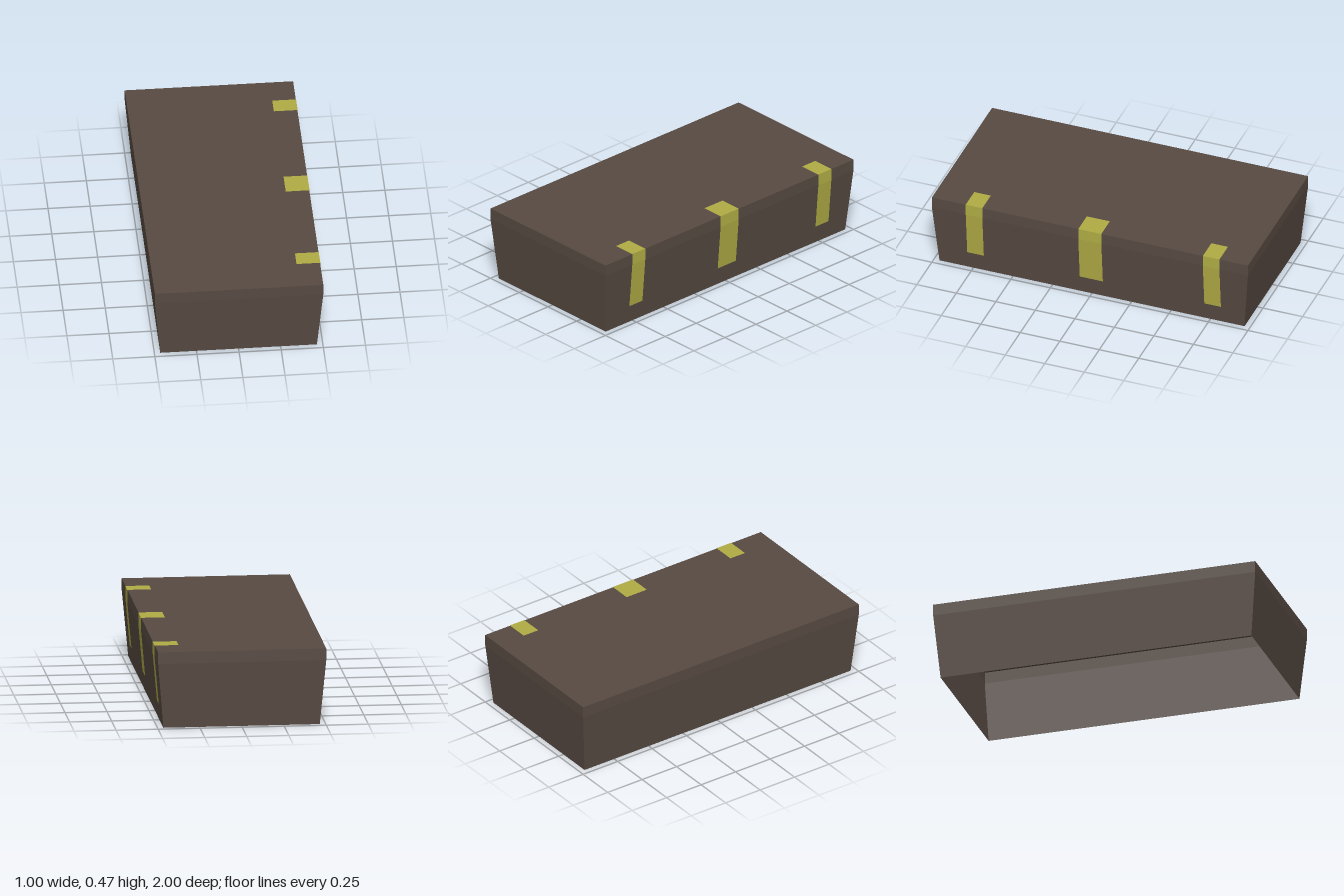
import * as THREE from 'three';

const brown = new THREE.MeshStandardMaterial({ color: 0x574a42, side: THREE.DoubleSide });
brown.name = 'dark brown';
const yellow = new THREE.MeshStandardMaterial({ color: 0xb0ac45, side: THREE.DoubleSide });
yellow.name = 'olive yellow';

// flat-shaded faces from quads, corners counter-clockwise seen from outside
function quadMesh(name, quads, material) {
  const pos = quads.flatMap(([a, b, c, d]) => [a, b, c, a, c, d].flat());
  const geo = new THREE.BufferGeometry();
  geo.setAttribute('position', new THREE.Float32BufferAttribute(pos, 3));
  geo.computeVertexNormals();
  const mesh = new THREE.Mesh(geo, material);
  mesh.name = name;
  return mesh;
}

const HEIGHT = 0.465, RIM = 0.395;

// rectangular ring at height y
const ring = (x, y, z) => [[-x, y, z], [x, y, z], [x, y, -z], [-x, y, -z]];

export function createModel() {
  const model = new THREE.Group();
  model.name = 'box';

  // shell: tapered walls, upright rim and lid, open underneath
  const rings = [ring(0.465, 0, 0.965), ring(0.5, RIM, 1), ring(0.5, HEIGHT, 1)];
  const band = (lo, hi) => lo.map((p, i) => {
    const j = (i + 1) % 4;
    return [p, lo[j], hi[j], hi[i]];
  });
  model.add(quadMesh('walls', band(rings[0], rings[1]), brown));
  model.add(quadMesh('rim', band(rings[1], rings[2]), brown));
  model.add(quadMesh('lid', [rings[2]], brown));

  // straps: thin bands up the left wall, folded over the edge of the lid
  const e = 0.0015;
  const path = [[0.475 + e, 0.11], [0.5 + e, RIM], [0.5 + e, HEIGHT + e], [0.36, HEIGHT + e]];
  const straps = { frontStrap: [0.785, 0.68], middleStrap: [0.073, -0.073], backStrap: [-0.715, -0.82] };
  for (const [name, [z0, z1]] of Object.entries(straps)) {
    const quads = path.slice(1).map(([x, y], i) => {
      const [px, py] = path[i];
      return [[px, py, z0], [px, py, z1], [x, y, z1], [x, y, z0]];
    });
    model.add(quadMesh(name, quads, yellow));
  }
  return model;
}
